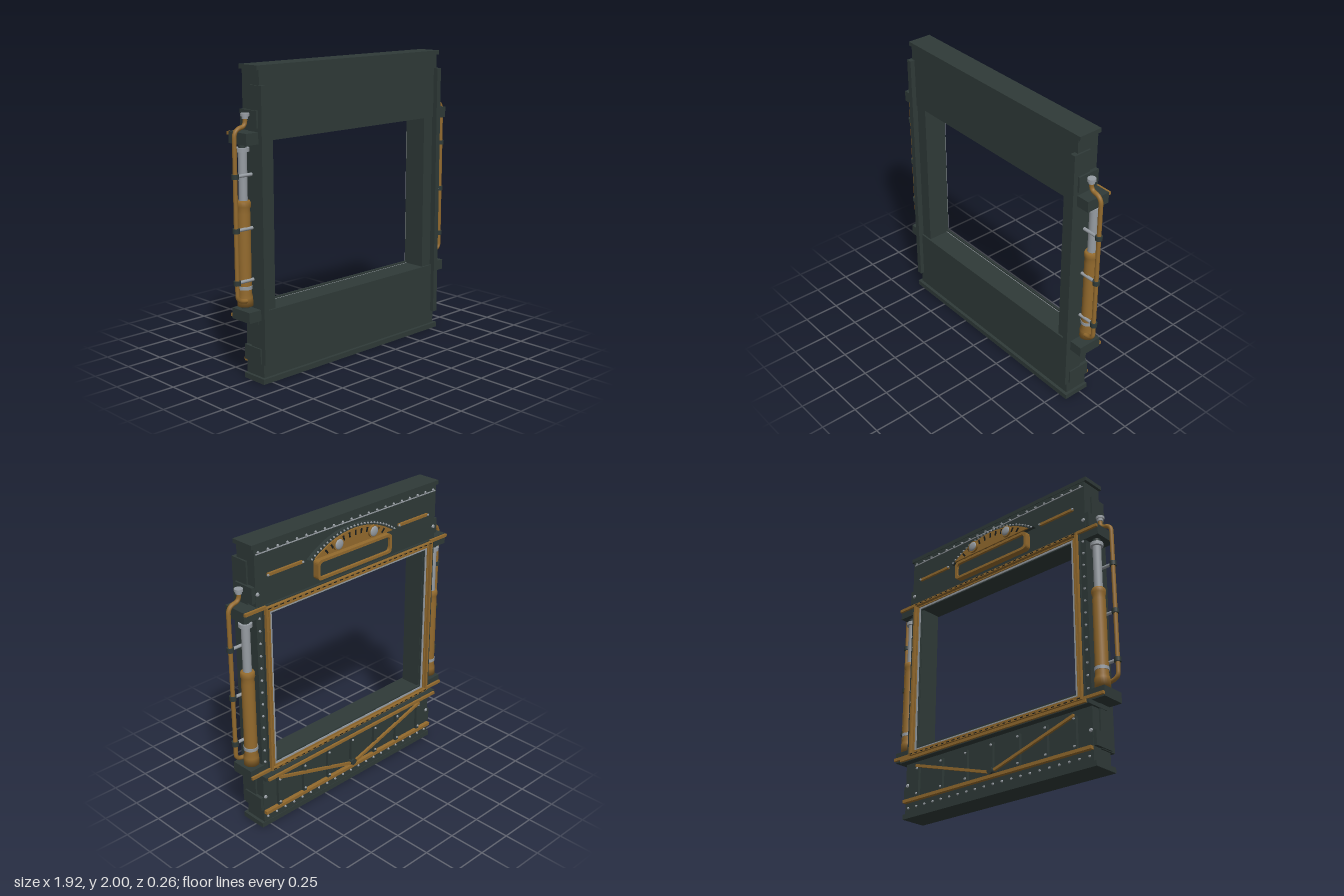
import * as THREE from 'three';

const mat = (name, color) => Object.assign(new THREE.MeshStandardMaterial({ color }), { name });

export function createModel() {
  const iron = mat('dark iron', 0x2f3a38);
  const brass = mat('brass', 0x936a2d);
  const steel = mat('steel', 0x969ca2);
  const black = mat('black', 0x191d1d);
  const root = new THREE.Group();
  root.name = 'portalFrame';
  const BACK = -0.064, FRONT = 0.095;

  const add = (name, geo, m, parent = root) => {
    const mesh = new THREE.Mesh(geo, m);
    mesh.name = name;
    parent.add(mesh);
    return mesh;
  };
  // box from its minimum and maximum corners
  const box = (name, m, x0, x1, y0, y1, z0, z1, parent) => {
    const b = add(name, new THREE.BoxGeometry(x1 - x0, y1 - y0, z1 - z0), m, parent);
    b.position.set((x0 + x1) / 2, (y0 + y1) / 2, (z0 + z1) / 2);
    return b;
  };
  const rect = (P, w, y0, y1, r = 0.001) => {
    const p = new P();
    p.moveTo(-w + r, y0).lineTo(w - r, y0).quadraticCurveTo(w, y0, w, y0 + r);
    p.lineTo(w, y1 - r).quadraticCurveTo(w, y1, w - r, y1);
    p.lineTo(-w + r, y1).quadraticCurveTo(-w, y1, -w, y1 - r);
    p.lineTo(-w, y0 + r).quadraticCurveTo(-w, y0, -w + r, y0);
    return p;
  };
  // rectangular ring of border t between two depths
  const ring = (name, m, w, y0, y1, t, z0, z1, r) => {
    const s = rect(THREE.Shape, w, y0, y1, r);
    s.holes.push(rect(THREE.Path, w - t, y0 + t, y1 - t, r));
    const g = new THREE.ExtrudeGeometry(s, { depth: z1 - z0, bevelEnabled: false, curveSegments: 5 });
    add(name, g, m).position.z = z0;
  };
  // bolt head on a back face
  const boltGeo = new THREE.CylinderGeometry(0.006, 0.009, 0.008, 8).rotateX(-Math.PI / 2);
  const bolt = (x, y, z = BACK, s = 1) => {
    const b = add('bolt', boltGeo, steel);
    b.position.set(x, y, z - 0.004);
    b.scale.set(s, s, 1);
  };

  // main body
  box('upperPanel', iron, -0.8, 0.8, 1.54, 1.98, BACK, FRONT);
  box('lowerPanel', iron, -0.8, 0.8, 0.03, 0.47, BACK, 0.1);
  box('topCap', iron, -0.82, 0.82, 1.972, 2, BACK - 0.003, 0.1);
  box('basePlate', iron, -0.82, 0.82, 0, 0.035, BACK - 0.003, 0.122);

  // everything that is mirrored to both sides
  const lathe = (pts) => new THREE.LatheGeometry(pts.map(p => new THREE.Vector2(...p)), 24);
  for (const s of [1, -1]) {
    const side = new THREE.Group();
    side.name = s > 0 ? 'leftSide' : 'rightSide';
    root.add(side);
    const sbox = (name, m, x0, x1, ...r) => box(name, m, Math.min(s * x0, s * x1), Math.max(s * x0, s * x1), ...r, side);
    sbox('post', iron, 0.69, 0.8, 0.47, 1.54, BACK, 0.088);
    sbox('edgeFlange', iron, 0.775, 0.812, 0.125, 1.88, 0.0, 0.128);
    sbox('upperSidePlate', iron, 0.8, 0.825, 1.625, 1.73, -0.06, FRONT);
    sbox('lowerSidePlate', iron, 0.8, 0.822, 0.13, 0.228, -0.06, FRONT);
    for (const [y0, y1, ty] of [[1.527, 1.6, 1.588], [0.415, 0.485, 0.435]]) {
      sbox('bracket', iron, 0.79, 0.905, y0, y1, -0.074, FRONT);
      sbox('bracketTrim', brass, 0.74, 0.905, ty - 0.01, ty + 0.01, -0.09, -0.074);
    }

    // piston
    const piston = new THREE.Group();
    piston.name = 'piston';
    piston.position.set(s * 0.848, 0, -0.015);
    side.add(piston);
    add('pistonBarrel', lathe([[0, 0.5], [0.05, 0.5], [0.05, 0.555], [0.043, 0.58], [0.043, 1.09],
      [0.04, 1.12], [0.047, 1.135], [0.047, 1.16], [0.04, 1.172], [0, 1.172]]), brass, piston);
    add('pistonRod', new THREE.CylinderGeometry(0.028, 0.028, 0.32, 20), steel, piston).position.y = 1.32;
    add('pistonHead', new THREE.CylinderGeometry(0.043, 0.043, 0.025, 20), steel, piston).position.y = 1.488;
    add('pistonCollar', new THREE.CylinderGeometry(0.047, 0.047, 0.022, 20), steel, piston).position.y = 0.62;
    for (const y of [0.49, 1.515])
      add('pistonMount', new THREE.CylinderGeometry(0.026, 0.026, 0.035, 16), iron, piston).position.y = y;

    // side pipe with rounded corners
    const v = (x, y) => new THREE.Vector3(s * x, y, 0.025);
    const path = new THREE.CurvePath();
    path.add(new THREE.LineCurve3(v(0.855, 1.71), v(0.855, 1.67)));
    path.add(new THREE.QuadraticBezierCurve3(v(0.855, 1.67), v(0.855, 1.632), v(0.89, 1.628)));
    path.add(new THREE.QuadraticBezierCurve3(v(0.89, 1.628), v(0.94, 1.62), v(0.94, 1.57)));
    path.add(new THREE.LineCurve3(v(0.94, 1.57), v(0.94, 0.59)));
    path.add(new THREE.QuadraticBezierCurve3(v(0.94, 0.59), v(0.94, 0.545), v(0.87, 0.542)));
    add('sidePipe', new THREE.TubeGeometry(path, 120, 0.0145, 10), brass, side);
    add('pipeNut', new THREE.CylinderGeometry(0.028, 0.028, 0.018, 12), steel, side).position.set(s * 0.855, 1.705, 0.025);
    add('pipeNutBase', new THREE.CylinderGeometry(0.02, 0.02, 0.02, 12), steel, side).position.set(s * 0.855, 1.69, 0.025);
    for (const y of [0.67, 1.0, 1.335]) {
      const arm = add('clampArm', new THREE.CylinderGeometry(0.011, 0.011, 0.12, 10).rotateZ(Math.PI / 2), steel, side);
      arm.position.set(s * 0.87, y, 0.025);
      add('clampRing', new THREE.CylinderGeometry(0.023, 0.023, 0.03, 14), iron, side).position.set(s * 0.94, y, 0.025);
    }

    // bolts and trim on the back of this side
    for (let i = 0; i < 13; i++) bolt(s * 0.778, 0.5 + i * 0.085);
    for (const y of [0.23, 1.68]) bolt(s * 0.785, y, BACK, 1.6);
    sbox('headerBar', brass, 0.43, 0.71, 1.778, 1.796, -0.08, BACK);
    for (const x of [0.43, 0.71]) bolt(s * x, 1.787, -0.078);

    // diagonal truss bar
    const a = new THREE.Vector2(0.68, 0.345), b = new THREE.Vector2(0.03, 0.15);
    const bar = add('trussDiagonal', new THREE.BoxGeometry(a.distanceTo(b), 0.019, 0.016), brass, side);
    bar.position.set(s * 0.355, 0.2475, -0.088);
    bar.rotation.z = s * Math.atan2(a.y - b.y, a.x - b.x);
  }

  // window surround on the back
  ring('windowBacking', iron, 0.755, 0.42, 1.595, 0.062, -0.078, BACK);
  ring('windowTrim', brass, 0.75, 0.428, 1.588, 0.016, -0.1, -0.078);
  ring('windowInnerTrim', brass, 0.722, 0.45, 1.562, 0.009, -0.09, -0.078);
  ring('windowGasket', steel, 0.709, 0.458, 1.552, 0.013, -0.084, -0.06);
  for (let i = 0; i < 30; i++) {
    const x = -0.725 + i * 0.05;
    for (const y of [0.436, 1.58]) box('trimNotch', black, x - 0.012, x + 0.012, y - 0.003, y + 0.003, -0.102, -0.099);
  }

  // ledge with its rail
  box('ledge', iron, -0.815, 0.815, 0.382, 0.41, -0.115, 0.07);
  box('ledgeRail', brass, -0.8, 0.8, 0.387, 0.406, -0.13, -0.115);

  // lower truss
  box('lowerRail', brass, -0.8, 0.8, 0.105, 0.127, -0.092, BACK);
  for (let i = -3; i <= 3; i++) {
    const x = i * 0.225;
    box('trussUpright', iron, x - 0.014, x + 0.014, 0.125, 0.345, -0.085, BACK);
    for (const y of [0.15, 0.325]) bolt(x, y, -0.085);
  }
  add('trussHub', new THREE.CylinderGeometry(0.022, 0.022, 0.035, 16).rotateX(Math.PI / 2), iron).position.set(0, 0.15, -0.082);

  // rivet rows along header and base
  box('headerStrip', steel, -0.79, 0.79, 1.932, 1.938, -0.069, BACK);
  for (let i = 0; i < 21; i++) {
    const x = -0.77 + i * 0.077;
    bolt(x, 1.945);
    bolt(x, 0.07);
  }

  // name panel, left blank
  const plate = new THREE.ExtrudeGeometry(rect(THREE.Shape, 0.32, 1.645, 1.76, 0.025), { depth: 0.025, bevelEnabled: false });
  add('panelFace', plate, iron).position.z = -0.089;
  ring('panelFrame', brass, 0.33, 1.635, 1.77, 0.018, -0.108, BACK, 0.03);

  // arched gauge plate: a circle segment, rim behind and brass in front
  const arch = (name, m, w, h, z0, z1) => {
    const R = (w * w + h * h) / (2 * h), t = Math.asin(w / R);
    const sh = new THREE.Shape();
    sh.absarc(0, h - R, R, Math.PI / 2 - t, Math.PI / 2 + t, false);
    const g = new THREE.ExtrudeGeometry(sh, { depth: z1 - z0, bevelEnabled: false, curveSegments: 32 });
    add(name, g, m).position.set(0, 1.785, z0);
    return { R, t, cy: 1.785 + h - R };
  };
  const rim = arch('archRim', iron, 0.385, 0.13, -0.09, BACK);
  arch('archPlate', brass, 0.345, 0.108, -0.1, -0.085);
  for (let i = 0; i <= 26; i++) {
    const k = (i / 13 - 1) * rim.t * 0.96, r = rim.R - 0.008;
    bolt(Math.sin(k) * r, rim.cy + Math.cos(k) * r, -0.09, 0.8);
  }
  for (let i = -5; i <= 5; i++) {
    const k = i / 5 * rim.t * 0.68, r = rim.R - 0.05;
    const slot = add('archSlot', new THREE.BoxGeometry(0.012, 0.034, 0.004), black);
    slot.position.set(Math.sin(k) * r, rim.cy + Math.cos(k) * r, -0.101);
    slot.rotation.z = -k * 1.6;
  }
  for (const x of [-0.155, 0.155]) {
    const bezel = add('gaugeBezel', new THREE.CylinderGeometry(0.042, 0.042, 0.016, 24).rotateX(Math.PI / 2), brass);
    bezel.position.set(x, 1.833, -0.106);
    const dial = add('gaugeDial', new THREE.SphereGeometry(0.034, 20, 12), steel);
    dial.scale.z = 0.3;
    dial.position.set(x, 1.833, -0.114);
  }
  return root;
}
